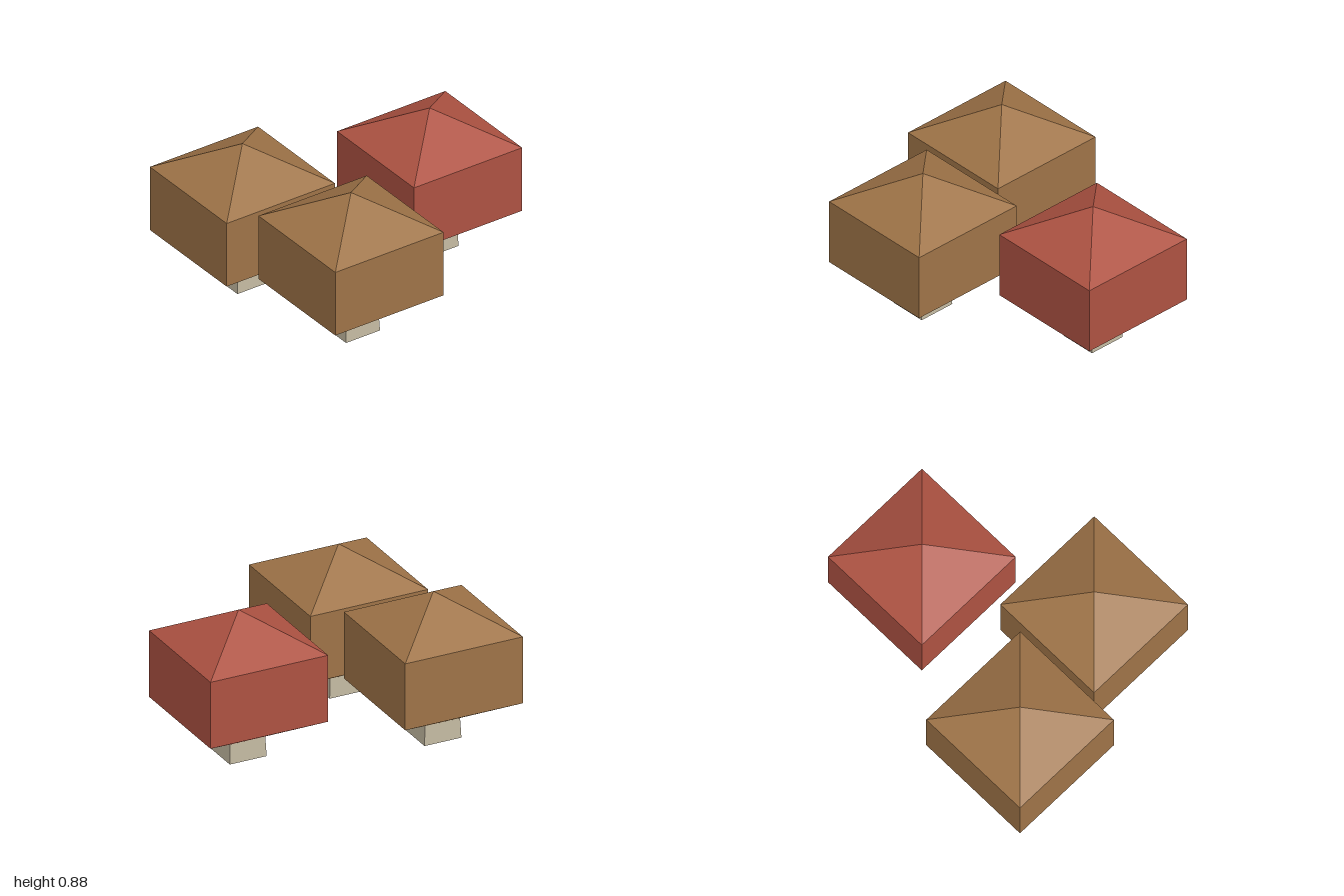
import * as THREE from 'three';
import { mergeGeometries } from 'three/addons/utils/BufferGeometryUtils.js';

// Four-sided frustum between two heights, corners on the x and z axes
function frustum(rBottom, rTop, y0, y1, open = true) {
  const g = new THREE.CylinderGeometry(rTop, rBottom, y1 - y0, 4, 1, open);
  g.translate(0, (y0 + y1) / 2, 0);
  const flat = g.toNonIndexed();
  flat.computeVertexNormals();
  return flat;
}

export function createModel() {
  const model = new THREE.Group();
  model.name = 'mushrooms';

  const brown = new THREE.MeshStandardMaterial({ color: 0x9e7347 });
  brown.name = 'brown cap';
  const red = new THREE.MeshStandardMaterial({ color: 0xad5242 });
  red.name = 'red cap';
  const cream = new THREE.MeshStandardMaterial({ color: 0xc2b8a0, side: THREE.DoubleSide });
  cream.name = 'cream stem';

  const R = 0.52, neck = 0.155;
  const yNeck = 0.12, yLow = 0.265, yHigh = 0.675, yTop = 0.88;

  // Cap: sloped underside (closed at the neck), straight wall, pyramid top
  const bottom = new THREE.CircleGeometry(neck, 4).rotateX(Math.PI / 2).translate(0, yNeck, 0).toNonIndexed();
  const capGeometry = mergeGeometries([
    bottom,
    frustum(neck, R, yNeck, yLow),
    frustum(R, R, yLow, yHigh),
    frustum(R, 0, yHigh, yTop),
  ]);

  // Stem: short, slightly flared sleeve, open underneath
  const stemGeometry = frustum(0.163, neck, 0, yNeck);

  const places = [
    ['leftBrownMushroom', 0.2, 0.475, brown],
    ['rightBrownMushroom', -0.48, 0.065, brown],
    ['redMushroom', 0.48, -0.48, red],
  ];
  for (const [name, x, z, material] of places) {
    const mushroom = new THREE.Group();
    mushroom.name = name;
    const cap = new THREE.Mesh(capGeometry, material);
    cap.name = 'cap';
    const stem = new THREE.Mesh(stemGeometry, cream);
    stem.name = 'stem';
    mushroom.add(cap, stem);
    mushroom.position.set(x, 0, z);
    model.add(mushroom);
  }
  return model;
}
